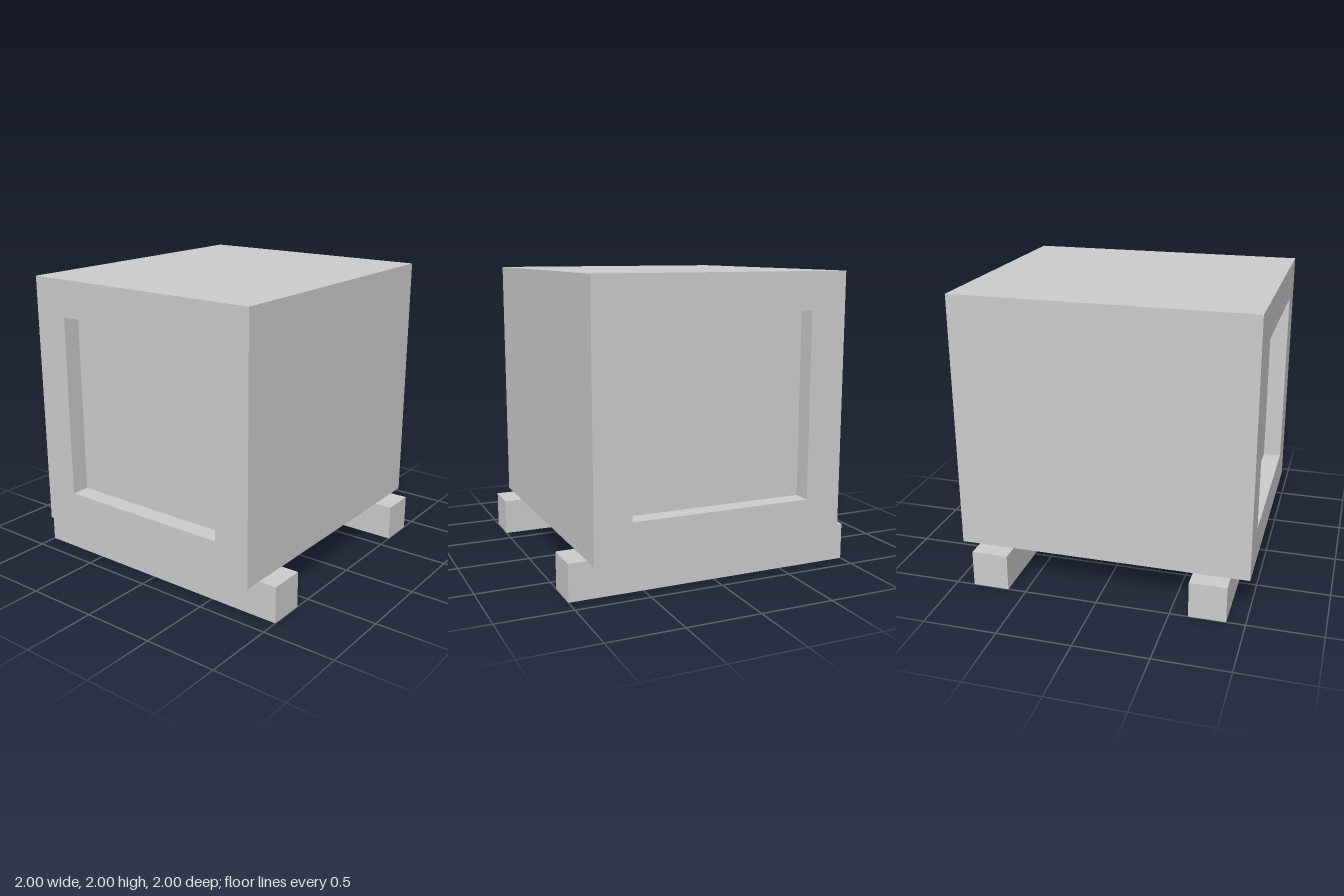
import * as THREE from 'three';

const material = new THREE.MeshStandardMaterial({ color: 0xcccccc, flatShading: true });

function addMesh(group, name, geometry, x, y, z) {
  const mesh = new THREE.Mesh(geometry, material);
  mesh.name = name;
  mesh.position.set(x, y, z);
  group.add(mesh);
}

function square(target, half) {
  target.moveTo(-half, -half);
  target.lineTo(half, -half);
  target.lineTo(half, half);
  target.lineTo(-half, half);
  target.closePath();
  return target;
}

export function createModel() {
  const model = new THREE.Group();
  model.name = 'crate';
  const centreY = 1.125;

  // Outer casing: a square tube running front to back
  const outline = square(new THREE.Shape(), 0.875);
  outline.holes.push(square(new THREE.Path(), 0.625));
  const casing = new THREE.ExtrudeGeometry(outline, { depth: 2, bevelEnabled: false });
  addMesh(model, 'casing', casing, 0, centreY, -1);

  // Core whose ends form the recessed front and back panels
  addMesh(model, 'recessedPanels', new THREE.BoxGeometry(1.25, 1.25, 1.75), 0, centreY, 0);

  // Rails under the casing, reaching past both sides
  for (const [name, z] of [['frontRail', 0.75], ['backRail', -0.75]]) {
    addMesh(model, name, new THREE.BoxGeometry(2, 0.25, 0.25), 0, 0.125, z);
  }

  return model;
}
